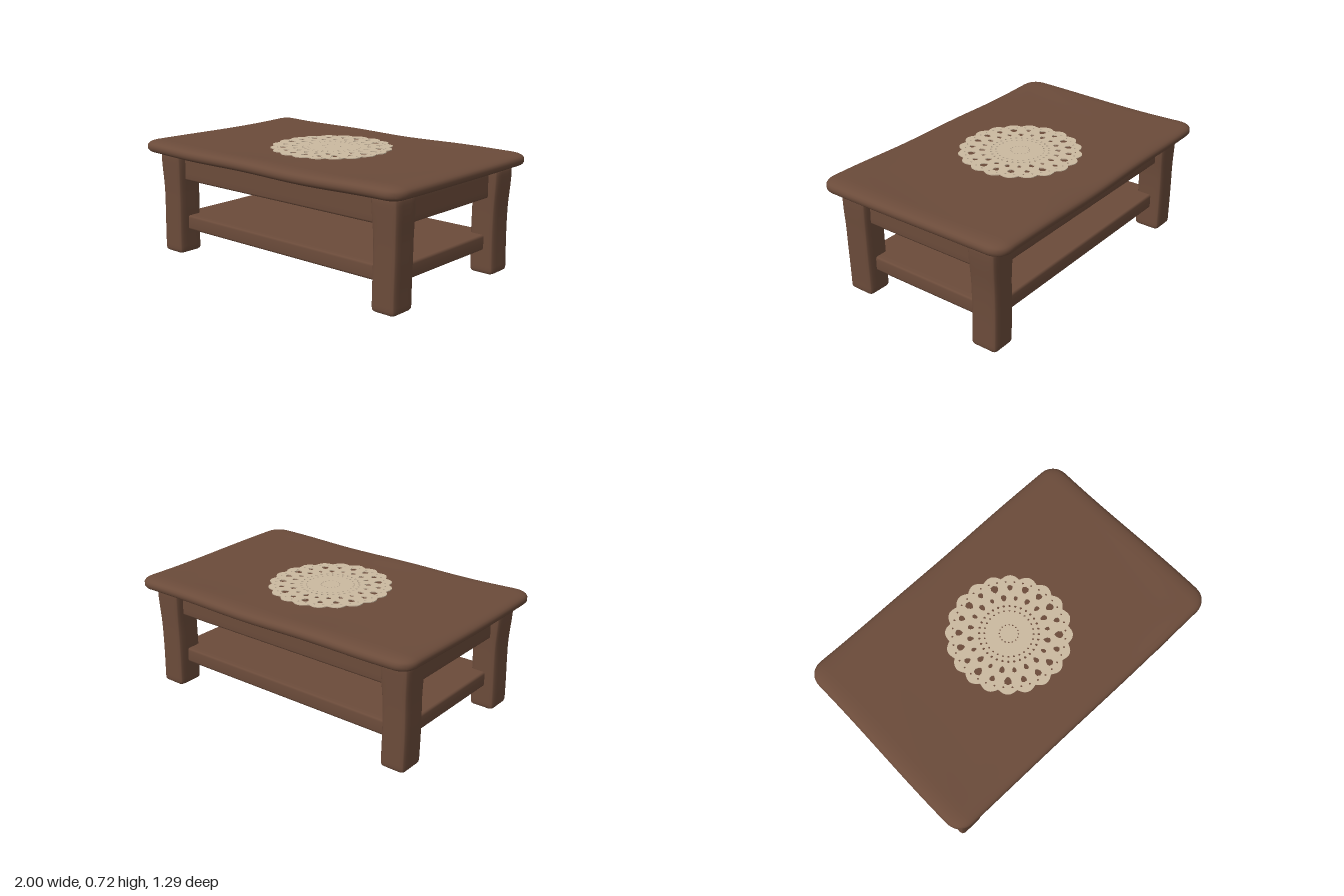
import * as THREE from 'three';
import { mergeVertices } from 'three/addons/utils/BufferGeometryUtils.js';

const wood = new THREE.MeshStandardMaterial({ color: 0x6b4b3a });
wood.name = 'brown wood';
const lace = new THREE.MeshStandardMaterial({ color: 0xcbb9a0 });
lace.name = 'cream lace';

// Soft-edged block: r is the plan radius, ry the vertical edge radius; warp(v) bends it afterwards
function softBlock(w, h, d, r, ry, segs, warp) {
  const k = r / ry;
  const half = new THREE.Vector3(w / 2, (h / 2) * k, d / 2);
  const inner = half.clone().subScalar(r);
  const negInner = inner.clone().negate();
  let geo = new THREE.BoxGeometry(2, 2, 2, ...segs);
  const pos = geo.attributes.position;
  const v = new THREE.Vector3(), c = new THREE.Vector3();
  const crowd = t => t * (1.5 - 0.5 * t * t); // crowd vertices towards the edges
  for (let i = 0; i < pos.count; i++) {
    v.fromBufferAttribute(pos, i);
    v.set(crowd(v.x), crowd(v.y), crowd(v.z)).multiply(half);
    c.copy(v).clamp(negInner, inner);
    v.sub(c).normalize().multiplyScalar(r).add(c);
    v.y /= k;
    if (warp) warp(v);
    pos.setXYZ(i, v.x, v.y, v.z);
  }
  geo.deleteAttribute('normal');
  geo.deleteAttribute('uv');
  geo = mergeVertices(geo, 1e-5);
  geo.computeVertexNormals();
  return geo;
}

function add(parent, name, geo, mat, x, y, z) {
  const mesh = new THREE.Mesh(geo, mat);
  mesh.name = name;
  mesh.position.set(x, y, z);
  parent.add(mesh);
  return mesh;
}

// Scalloped lace disc with rings of cut-outs
function doilyGeometry() {
  const polar = (r, a) => new THREE.Vector2(r * Math.cos(a), r * Math.sin(a));
  const lobes = 20, outline = [];
  for (let i = 0; i < lobes * 8; i++) {
    const a = (i / (lobes * 8)) * Math.PI * 2;
    outline.push(polar(0.345 + 0.024 * Math.abs(Math.sin(a * lobes / 2)), a));
  }
  const shape = new THREE.Shape(outline);
  // [count, radius, radial half size, tangential half size, turn in steps]
  const rings = [
    [20, 0.288, 0.026, 0.022, 0.5],
    [20, 0.223, 0.022, 0.016, 0],
    [40, 0.326, 0.006, 0.006, 0.5],
    [32, 0.172, 0.008, 0.007, 0],
    [28, 0.142, 0.006, 0.006, 0.5],
    [16, 0.055, 0.005, 0.005, 0],
  ];
  for (const [n, radius, dr, dt, turn] of rings) {
    for (let i = 0; i < n; i++) {
      const a = ((i + turn) / n) * Math.PI * 2;
      const sway = n === 20 ? 0.85 + 0.15 * Math.sin(i * 2.7) : 1;
      const points = [];
      for (let j = 0; j < 8; j++) {
        const t = (j / 8) * Math.PI * 2;
        const out = Math.cos(t) * dr * sway;
        const across = Math.sin(t) * dt * sway * (1 + 0.3 * Math.cos(t)); // wider outwards
        points.push(polar(radius + out, a + across / radius));
      }
      shape.holes.push(new THREE.Path(points.reverse()));
    }
  }
  const geo = new THREE.ExtrudeGeometry(shape, { depth: 0.009, bevelEnabled: false });
  return geo.rotateX(-Math.PI / 2);
}

export function createModel() {
  const table = new THREE.Group();
  table.name = 'coffeeTable';

  // Worn top, slightly hollow in the middle with uneven edges
  const top = softBlock(1.99, 0.085, 1.285, 0.1, 0.034, [60, 10, 40], v => {
    const lift = 0.014 * Math.min(1, v.x * v.x * 0.7 + v.z * v.z * 1.2);
    const edge = Math.max(Math.abs(v.x), Math.abs(v.z) / 0.645);
    v.y += lift + 0.003 * Math.sin(v.x * 7 + v.z * 4) * THREE.MathUtils.smoothstep(edge, 0.6, 0.95);
    v.z += 0.004 * Math.sin(v.x * 3.2) * v.z;
    v.x += 0.006 * Math.sin(v.z * 4) * v.x;
  });
  add(table, 'tableTop', top, wood, 0, 0.66, 0);

  // Lace mat
  add(table, 'doily', doilyGeometry(), lace, 0, 0.7, -0.01);

  // Chunky legs, a little wider under the top
  for (const sx of [-1, 1]) {
    for (const sz of [-1, 1]) {
      const leg = softBlock(0.158, 0.645, 0.17, 0.025, 0.025, [8, 24, 8], v => {
        const flare = 1 + 0.12 * THREE.MathUtils.smoothstep(v.y, 0.05, 0.28);
        v.x *= flare;
        v.z *= 1 + (flare - 1) * 0.5;
        v.x += 0.003 * Math.sin(v.y * 9 + sz);
      });
      add(table, `leg${sz > 0 ? 'Front' : 'Back'}${sx > 0 ? 'Left' : 'Right'}`,
        leg, wood, sx * 0.843, 0.3225, sz * 0.462);
    }
  }

  // Apron rails between the legs
  const longRail = softBlock(1.62, 0.17, 0.07, 0.012, 0.012, [20, 6, 4]);
  const shortRail = softBlock(0.07, 0.17, 0.86, 0.012, 0.012, [4, 6, 16]);
  for (const s of [-1, 1]) {
    add(table, s > 0 ? 'apronFront' : 'apronBack', longRail, wood, 0, 0.555, s * 0.465);
    add(table, s > 0 ? 'apronLeft' : 'apronRight', shortRail, wood, s * 0.845, 0.55, 0);
  }

  // Lower shelf
  add(table, 'shelf', softBlock(1.72, 0.092, 0.96, 0.012, 0.012, [20, 4, 16]), wood, 0, 0.194, 0);

  return table;
}
